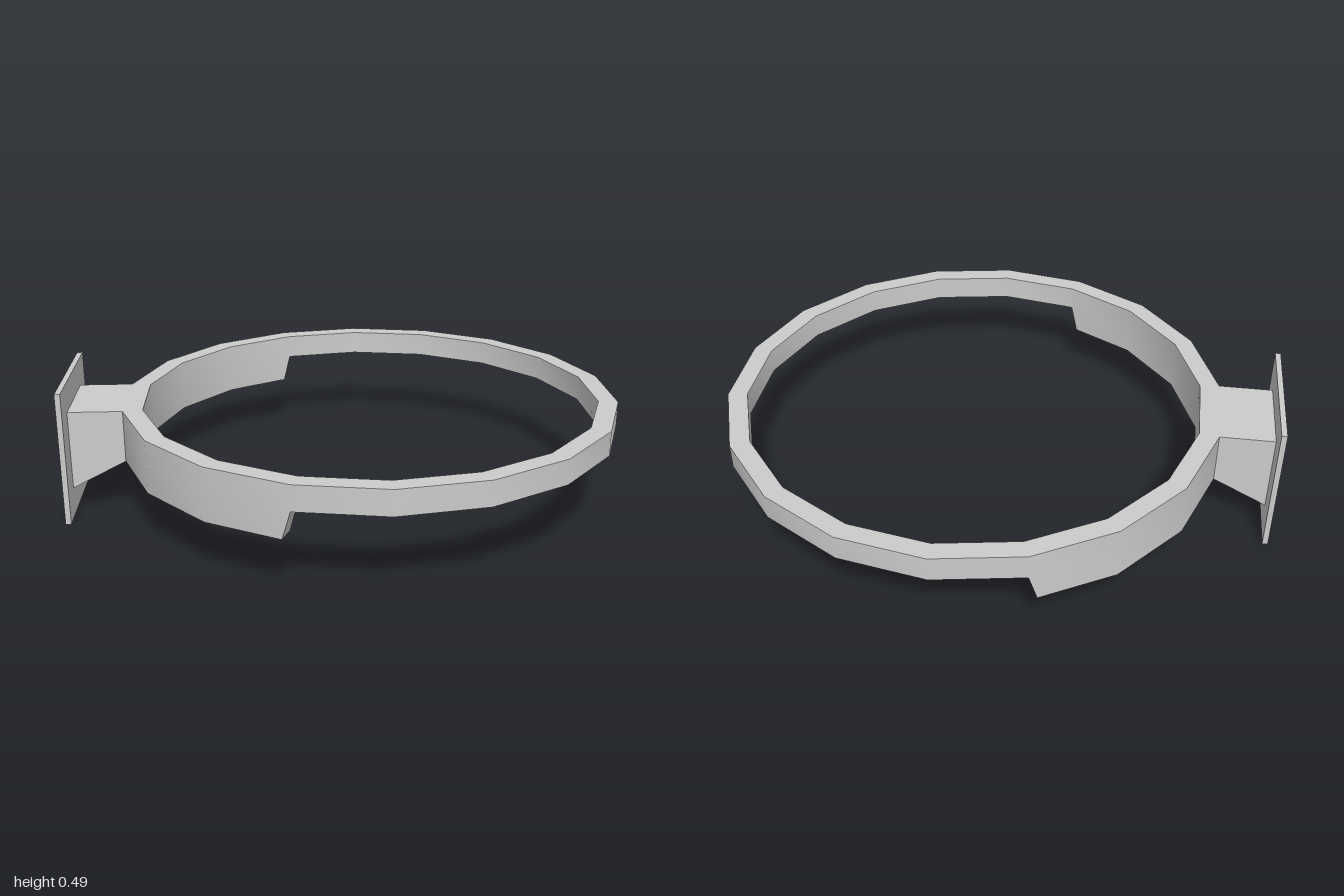
import * as THREE from 'three';
import { toCreasedNormals } from 'three/addons/utils/BufferGeometryUtils.js';

const material = new THREE.MeshStandardMaterial({ color: 0xcccccc });
const SIDES = 18, CENTER_X = 0.107, OUTER = 0.906, INNER = 0.835;
const TOP = 0.39, THIN = 0.3, DEEP = 0.2, PLATE_X = -0.98, ARM_X = -0.785, ARM_HALF = 0.157;

// Corner k of the ring at radius r and height y
function corner(k, r, y) {
  const a = THREE.MathUtils.degToRad(10 + (k * 360) / SIDES);
  return new THREE.Vector3(CENTER_X + r * Math.cos(a), y, r * Math.sin(a));
}

// Cross-section at corner k; the bottom edge may slide towards a neighbouring corner
function section(k, bottom, slide = 0) {
  const low = (r) => corner(k, r, bottom).lerp(corner(k + Math.sign(slide), r, bottom), Math.abs(slide));
  return [low(OUTER), corner(k, OUTER, TOP), corner(k, INNER, TOP), low(INNER)];
}

function ringGeometry() {
  const sections = [];
  const stepA = 5, stepB = 12; // corners where the deep part begins and ends
  for (let k = 0; k < SIDES; k++) {
    if (k === stepA) sections.push(section(k, THIN), section(k, DEEP, 0.1));
    else if (k === stepB) sections.push(section(k, DEEP, -0.1), section(k, THIN));
    else sections.push(section(k, k > stepA && k < stepB ? DEEP : THIN));
  }
  const points = [];
  const addTriangle = (a, b, c) => {
    if (new THREE.Triangle(a, b, c).getArea() > 1e-7) points.push(a, b, c);
  };
  sections.forEach((s, i) => {
    const n = sections[(i + 1) % sections.length];
    for (let j = 0; j < 4; j++) {
      const m = (j + 1) % 4;
      addTriangle(s[j], s[m], n[m]);
      addTriangle(s[j], n[m], n[j]);
    }
  });
  return toCreasedNormals(new THREE.BufferGeometry().setFromPoints(points), 0.6);
}

export function createModel() {
  const model = new THREE.Group();
  model.name = 'wallRing';
  const add = (name, geometry) => {
    const mesh = new THREE.Mesh(geometry, material);
    mesh.name = name;
    model.add(mesh);
    return mesh;
  };

  // Faceted ring, deeper near the wall
  add('ring', ringGeometry());

  // Tapered arm between ring and plate
  const profile = new THREE.Shape([
    new THREE.Vector2(PLATE_X, 0.1),
    new THREE.Vector2(ARM_X, DEEP),
    new THREE.Vector2(ARM_X, TOP),
    new THREE.Vector2(PLATE_X, TOP),
  ]);
  const arm = new THREE.ExtrudeGeometry(profile, { depth: 2 * ARM_HALF, bevelEnabled: false });
  add('arm', arm.translate(0, 0, -ARM_HALF));

  // Flat mounting plate
  add('mountingPlate', new THREE.BoxGeometry(0.02, 0.49, 0.51)).position.set(-0.99, 0.245, 0);

  return model;
}
